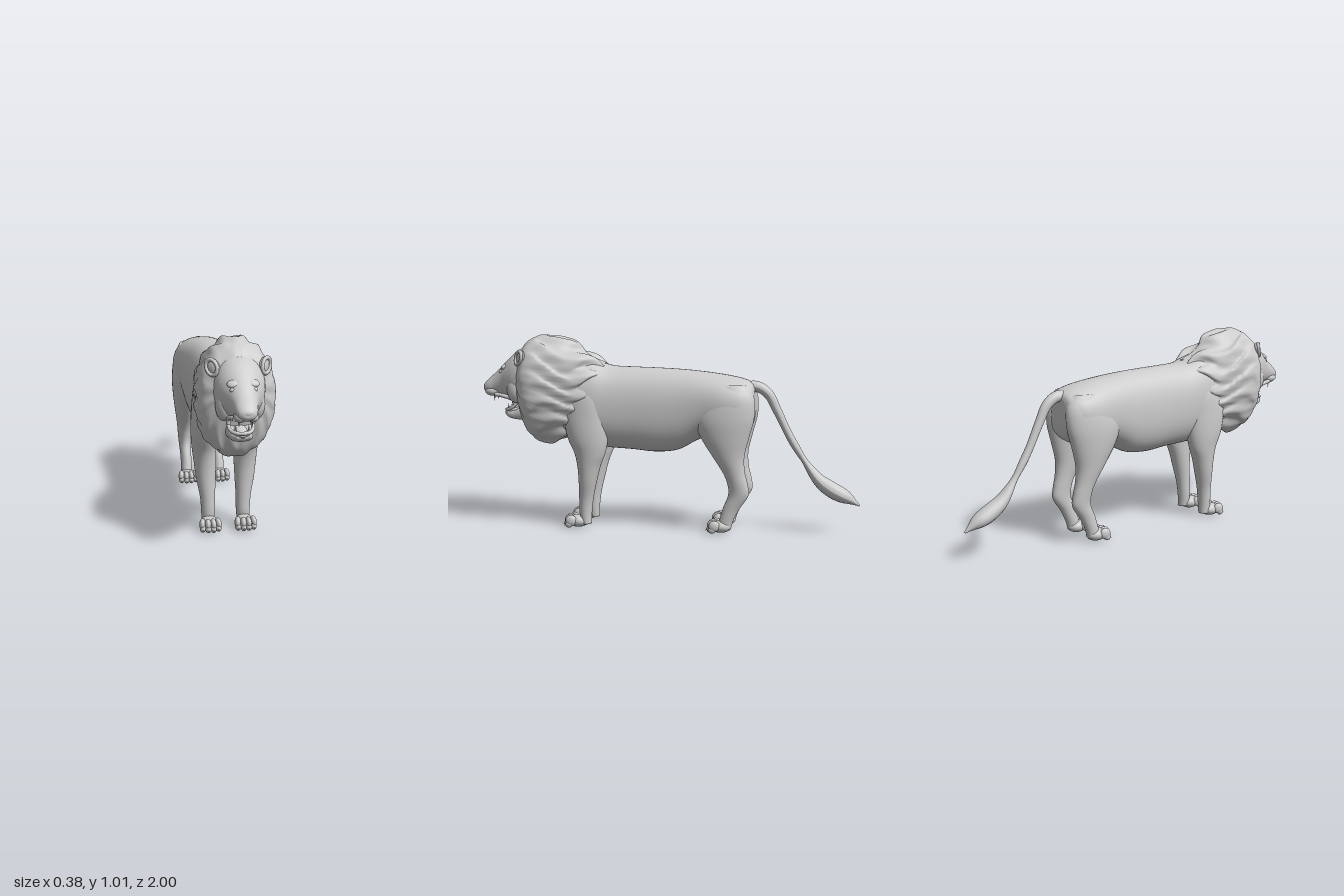
import * as THREE from 'three';

const material = new THREE.MeshStandardMaterial({ color: 0xcccccc, roughness: 0.8, side: THREE.DoubleSide });

// Smooth interpolation between cross-section rows
function sample(rows, t) {
  const n = rows.length - 1;
  const i = Math.min(n - 1, Math.floor(t * n));
  const f = t * n - i;
  const at = k => rows[Math.max(0, Math.min(n, k))];
  return rows[0].map((_, c) => {
    const [p, a, b, q] = [at(i - 1)[c], at(i)[c], at(i + 1)[c], at(i + 2)[c]];
    const m0 = (b - p) / 2, m1 = (q - a) / 2;
    return a + f * (m0 + f * (3 * (b - a) - 2 * m0 - m1 + f * (2 * (a - b) + m0 + m1)));
  });
}

// Skin closed rings into a capped, smooth surface
function loft(rows, ring, rings = 40, sides = 32) {
  const pos = [], index = [];
  for (let i = 0; i <= rings; i++) {
    const row = sample(rows, i / rings);
    for (let j = 0; j < sides; j++) pos.push(...ring(row, j / sides * Math.PI * 2, i / rings));
  }
  for (let i = 0; i < rings; i++) for (let j = 0; j < sides; j++) {
    const a = i * sides + j, b = i * sides + (j + 1) % sides;
    index.push(a, b, a + sides, b, b + sides, a + sides);
  }
  [0, rings].forEach((r, end) => {
    const c = [0, 0, 0], o = r * sides, id = pos.length / 3;
    for (let j = 0; j < sides; j++) for (let k = 0; k < 3; k++) c[k] += pos[(o + j) * 3 + k] / sides;
    pos.push(...c);
    for (let j = 0; j < sides; j++) {
      const a = o + j, b = o + (j + 1) % sides;
      index.push(id, end ? a : b, end ? b : a);
    }
  });
  const g = new THREE.BufferGeometry();
  g.setAttribute('position', new THREE.Float32BufferAttribute(pos, 3));
  g.setIndex(index);
  g.computeVertexNormals();
  return g;
}

const power = (v, e) => Math.sign(v) * Math.abs(v) ** e;

// Ring across z from a row of [z, top, bottom, halfWidth]
const crossRing = (e = 1) => ([z, top, bottom, w], a) =>
  [w * power(Math.cos(a), e), (top + bottom) / 2 + (top - bottom) / 2 * power(Math.sin(a), e), z];

// Ring across y from a row of [y, zFront, zBack, xInner, xOuter]
const legRing = s => ([y, zf, zb, xi, xo], a) =>
  [s * (xi + xo) / 2 + (xo - xi) / 2 * Math.cos(a), y, (zf + zb) / 2 - (zf - zb) / 2 * Math.sin(a)];

function add(parent, name, geometry, position = [0, 0, 0], scale = [1, 1, 1], rotation = [0, 0, 0]) {
  const m = new THREE.Mesh(geometry, material);
  m.name = name;
  m.position.set(...position);
  m.scale.set(...scale);
  m.rotation.set(...rotation);
  parent.add(m);
  return m;
}

const ball = new THREE.SphereGeometry(1, 20, 14);
const cone = new THREE.ConeGeometry(1, 1, 10);
const curve = pts => new THREE.CatmullRomCurve3(pts.map(p => new THREE.Vector3(...p)));

// Tail: a tube swelling into a tuft
function tailGeometry() {
  const path = curve([[0, .74, -.38], [0, .755, -.46], [0, .72, -.52], [0, .63, -.57], [0, .50, -.635],
    [0, .38, -.71], [0, .275, -.79], [0, .225, -.86], [0, .185, -.94], [0, .15, -.998]]);
  const radii = [[.035, .03], [.03, .028], [.023, .025], [.021, .022], [.02, .02], [.02, .02], [.018, .016],
    [.035, .028], [.046, .04], [.043, .036], [.005, .005]];
  const n = 70, sides = 18;
  const g = new THREE.TubeGeometry(path, n, 1, sides);
  const p = g.attributes.position;
  for (let i = 0; i <= n; i++) {
    const c = path.getPointAt(i / n);
    const [rx, ry] = sample(radii, i / n);
    for (let j = 0; j <= sides; j++) {
      const k = i * (sides + 1) + j;
      p.setXYZ(k, p.getX(k) * rx, c.y + (p.getY(k) - c.y) * ry, c.z + (p.getZ(k) - c.z) * ry);
    }
  }
  g.computeVertexNormals();
  return g;
}

// Paw with four toes and claws; z is the heel-to-toe middle
function addPaw(parent, x, z) {
  const paw = new THREE.Group();
  paw.name = 'paw';
  paw.position.set(x, 0, z);
  parent.add(paw);
  add(paw, 'pad', ball, [0, .033, -.015], [.045, .033, .055]);
  for (let i = 0; i < 4; i++) {
    const t = i - 1.5, front = .038 - Math.abs(t) * .011;
    add(paw, 'toe', ball, [t * .026, .039, front - .006], [.0155, .029, .029], [.25, t * .1, 0]);
    add(paw, 'toeTip', ball, [t * .026, .02, front + .006], [.0145, .019, .02]);
    add(paw, 'claw', cone, [t * .026, .018, front + .024], [.005, .026, .005], [2.3, 0, 0]);
  }
}

export function createModel() {
  const model = new THREE.Group();
  model.name = 'lion';

  add(model, 'body', loft([
    [-.455, .75, .60, .07], [-.44, .775, .55, .115], [-.39, .795, .51, .15], [-.30, .813, .49, .16],
    [-.18, .828, .48, .149], [-.06, .838, .418, .144], [.06, .843, .403, .143], [.18, .846, .412, .143],
    [.30, .852, .418, .148], [.40, .885, .425, .155], [.50, .90, .45, .15], [.60, .86, .50, .12],
  ], crossRing(.88), 60, 48));

  const frontLeg = [[.02, .45, .395, .06, .12], [.08, .46, .393, .053, .122], [.16, .46, .383, .052, .128],
    [.25, .46, .363, .048, .145], [.33, .465, .342, .045, .155], [.40, .48, .315, .044, .163],
    [.48, .515, .30, .035, .17], [.58, .53, .30, .03, .168], [.70, .51, .31, .02, .155], [.80, .46, .34, .03, .11]];
  const hindLeg = [[.02, -.27, -.345, .06, .12], [.07, -.285, -.36, .06, .12], [.13, -.303, -.39, .06, .12],
    [.20, -.33, -.435, .058, .124], [.26, -.325, -.43, .055, .13], [.32, -.30, -.416, .05, .137],
    [.40, -.248, -.412, .04, .15], [.50, -.185, -.435, .03, .163], [.60, -.15, -.46, .02, .167],
    [.70, -.18, -.46, .015, .152], [.77, -.25, -.42, .02, .12]];
  for (const s of [1, -1]) {
    const side = s > 0 ? 'left' : 'right';
    for (const [kind, rows, z] of [['FrontLeg', frontLeg, .482], ['HindLeg', hindLeg, -.278]]) {
      const leg = new THREE.Group();
      leg.name = side + kind;
      model.add(leg);
      add(leg, 'limb', loft(rows, legRing(s), 48, 28));
      addPaw(leg, s * .088, z);
    }
  }

  add(model, 'tail', tailGeometry());

  // Mane: swept-back shell with wavy locks and a ragged rear edge
  const maneRing = crossRing(.95);
  add(model, 'mane', loft([
    [.38, .86, .57, .13], [.43, .90, .51, .158], [.50, .945, .455, .168], [.58, .98, .437, .178],
    [.66, 1.0, .447, .186], [.72, .998, .485, .182], [.765, .965, .56, .155], [.80, .90, .66, .09],
  ], (row, a, u) => {
    let [x, y, z] = maneRing(row, a);
    const fold = Math.abs(Math.atan2(x, y - (row[1] + row[2]) / 2));
    const wave = Math.cos(13 * fold + 2.2 * Math.sin(u * 9 + fold * 2));
    const ripple = Math.cos(27 * fold - 9 * u);
    const k = 1 + Math.sin(Math.PI * Math.min(1, u + .12)) * (.032 * wave + .012 * ripple);
    const mid = (row[1] + row[2]) / 2;
    x *= k;
    y = mid + (y - mid) * k;
    return [x, y, z + (1 - u) * (.28 * (.75 - y) - .025 * wave)];
  }, 64, 120));

  // Head: skull and muzzle in one sweep
  const head = new THREE.Group();
  head.name = 'head';
  model.add(head);
  add(head, 'skull', loft([
    [.68, .96, .62, .12], [.76, .945, .635, .122], [.81, .92, .65, .113], [.85, .885, .668, .094],
    [.89, .845, .68, .071], [.93, .806, .685, .057], [.965, .775, .688, .05], [.988, .752, .698, .038],
    [.998, .738, .712, .02],
  ], crossRing(.93), 48, 40));
  add(head, 'nose', ball, [0, .73, .981], [.029, .018, .019], [.4, 0, 0]);

  // Open lower jaw, hollowed on top
  const jawRing = crossRing(.8);
  add(head, 'lowerJaw', loft([
    [.70, .66, .53, .07], [.78, .642, .55, .062], [.82, .62, .555, .056], [.855, .612, .563, .05], [.877, .604, .58, .03],
  ], (row, a) => {
    const [x, y, z] = jawRing(row, a);
    return [x, y - .022 * Math.max(0, Math.sin(a)) ** 4, z];
  }, 24, 32));
  add(head, 'tongue', ball, [0, .606, .815], [.03, .013, .05], [.25, 0, 0]);
  add(head, 'lowerLip', new THREE.TubeGeometry(curve([
    [.056, .652, .80], [.054, .62, .835], [.036, .609, .864], [0, .606, .875],
    [-.036, .609, .864], [-.054, .62, .835], [-.056, .652, .80]]), 40, .009, 10));

  for (const s of [1, -1]) {
    add(head, 'cheek', ball, [s * .075, .725, .80], [.04, .075, .05]);
    add(head, 'brow', ball, [s * .045, .838, .872], [.03, .013, .022], [.6, 0, s * -.15]);
    add(head, 'eye', ball, [s * .05, .812, .888], [.014, .011, .012]);
    add(head, 'whiskerPad', ball, [s * .028, .706, .945], [.029, .026, .042]);
    add(head, 'lipCorner', new THREE.TubeGeometry(curve([
      [s * .046, .69, .925], [s * .055, .683, .875], [s * .058, .662, .82], [s * .056, .635, .815]]), 20, .011, 10));
    add(head, 'upperFang', cone, [s * .03, .672, .935], [.007, .04, .007], [Math.PI, 0, 0]);
    add(head, 'lowerFang', cone, [s * .03, .628, .858], [.006, .034, .006]);

    // Round cupped ear with a raised rim
    const ear = new THREE.Group();
    ear.name = s > 0 ? 'leftEar' : 'rightEar';
    ear.position.set(s * .122, .892, .765);
    ear.rotation.set(-.15, s * .75, s * -.5);
    head.add(ear);
    add(ear, 'rim', new THREE.TorusGeometry(.032, .009, 10, 28), [0, 0, .006], [.9, 1.15, 1]);
    add(ear, 'back', ball, [0, 0, -.006], [.034, .042, .015]);
  }
  return model;
}
